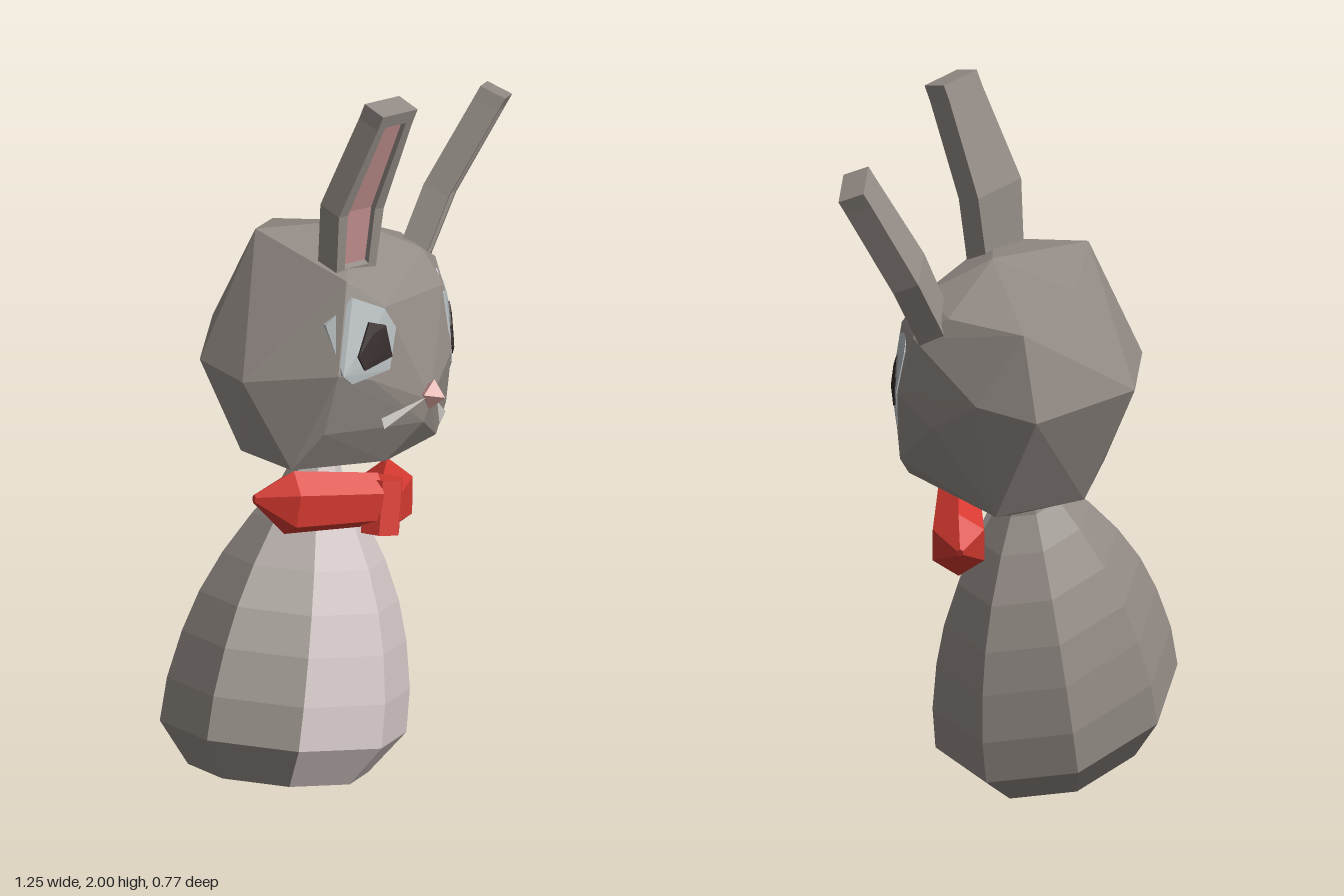
import * as THREE from 'three';
import { ConvexGeometry } from 'three/addons/geometries/ConvexGeometry.js';

const V = (x, y, z) => new THREE.Vector3(x, y, z);
const mat = (color) => new THREE.MeshStandardMaterial({ color, flatShading: true });
const fur = mat(0x948c86), belly = mat(0xcfc4c3), pink = mat(0xc08f8d), red = mat(0xd63a30);
const eyeWhite = mat(0xb4babd), dark = mat(0x352b2b), nosePink = mat(0xcf9b95), whiskerMat = mat(0xdedad6);
pink.side = whiskerMat.side = THREE.DoubleSide;

function fromTriangles(tris) {
  const geo = new THREE.BufferGeometry().setFromPoints(tris);
  geo.computeVertexNormals();
  return geo;
}

// Skin closed rings of points, panel by panel, with fans over both ends.
function loft(rings) {
  const tris = [], n = rings[0].length;
  for (let j = 0; j < n; j++) {
    const k = (j + 1) % n;
    for (let i = 0; i + 1 < rings.length; i++) {
      const [a, b] = [rings[i], rings[i + 1]];
      tris.push(a[j], a[k], b[k], a[j], b[k], b[j]);
    }
  }
  const first = rings[0], last = rings[rings.length - 1];
  const mid = (r) => r.reduce((s, p) => s.add(p), V(0, 0, 0)).divideScalar(n);
  const m0 = mid(first), m1 = mid(last);
  for (let j = 0; j < n; j++) {
    const k = (j + 1) % n;
    tris.push(m0, first[k], first[j], m1, last[j], last[k]);
  }
  // turn the faces outward
  let volume = 0;
  for (let i = 0; i < tris.length; i += 3) {
    const c = tris[i + 1].clone().sub(m0).cross(tris[i + 2].clone().sub(m0));
    volume += tris[i].clone().sub(m0).dot(c);
  }
  if (volume < 0) for (let i = 0; i < tris.length; i += 3) [tris[i], tris[i + 1]] = [tris[i + 1], tris[i]];
  return fromTriangles(tris);
}

// Ear with a recessed front; levels are [centre, width], w is the width direction.
function makeEar(levels, w, thickness) {
  const ear = new THREE.Group();
  const along = levels[levels.length - 1][0].clone().sub(levels[0][0]).normalize();
  w = w.clone().addScaledVector(along, -w.dot(along)).normalize();
  const front = w.clone().cross(along).normalize();
  const at = (c, s, d) => c.clone().addScaledVector(w, s).addScaledVector(front, d);
  const step = (i, j, f) => [levels[i][0].clone().lerp(levels[j][0], f), levels[i][1]];
  const end = levels.length - 1;
  const rows = [[...levels[0], 0], [...step(0, 1, 0.2), 0], [...step(0, 1, 0.22), 0.018],
    [...levels[1], 0.018], [...step(end, 1, 0.14), 0.018], [...step(end, 1, 0.12), 0], [...levels[end], 0]];
  const h = thickness / 2;
  ear.add(new THREE.Mesh(loft(rows.map(([c, width, deep]) => {
    const o = width / 2, q = o * 0.6;
    return [at(c, -o, -h), at(c, o, -h), at(c, o, h), at(c, q, h),
      at(c, q, h - deep), at(c, -q, h - deep), at(c, -q, h), at(c, -o, h)];
  })), fur));
  ear.children[0].name = 'earShell';
  // inner lining
  const tris = [], lining = rows.slice(2, 5).map(([c, width, deep]) =>
    [at(c, -width * 0.3, h - deep + 0.003), at(c, width * 0.3, h - deep + 0.003)]);
  for (let i = 0; i < 2; i++) {
    const [[a, b], [d, c]] = [lining[i], lining[i + 1]];
    tris.push(a, b, c, a, c, d);
  }
  const inner = new THREE.Mesh(fromTriangles(tris), pink);
  inner.name = 'innerEar';
  ear.add(inner);
  return ear;
}

// Six-sided bow wing, flaring from the knot to a pointed end.
function makeWing(from, to, tip, r0, r1) {
  const x = to.clone().sub(from).normalize();
  const up = V(0, 1, 0).addScaledVector(x, -x.y).normalize();
  const side = x.clone().cross(up);
  const ring = (c, r) => Array.from({ length: 6 }, (_, i) => {
    const a = (i + 0.5) * Math.PI / 3;
    return c.clone().addScaledVector(up, Math.sin(a) * r).addScaledVector(side, Math.cos(a) * r * 0.8);
  });
  return loft([ring(from, r0), ring(to, r1), ring(tip, 0.012)]);
}

export function createModel() {
  const model = new THREE.Group();
  const add = (name, object, material) => {
    const o = object.isObject3D ? object : new THREE.Mesh(object, material);
    o.name = name;
    model.add(o);
    return o;
  };

  // Leaning eight-sided body: height along the axis, relative girth
  const profile = [[-0.115, 0.73], [0, 1], [0.12, 0.985], [0.25, 0.91], [0.36, 0.81],
    [0.47, 0.66], [0.58, 0.46], [0.66, 0.28], [0.75, 0.17]];
  const bodyGeo = loft(profile.map(([t, s]) => Array.from({ length: 8 }, (_, j) => {
    const a = (j + 0.5) * Math.PI / 4, u = Math.cos(a) * 0.382 * s, v = Math.sin(a) * 0.317 * s;
    return V(-0.248 + 0.26 * t + u - 0.17 * v, 0.197 + 0.96 * t - 0.28 * u + 0.175 * v, 0.09 - 0.12 * t + v);
  })));
  const panel = (profile.length - 1) * 6;
  bodyGeo.addGroup(0, 2 * panel, 1);
  bodyGeo.addGroup(2 * panel, bodyGeo.attributes.position.count - 2 * panel, 0);
  add('body', bodyGeo, [fur, belly]);

  // Faceted, tilted head
  const head = add('head', new ConvexGeometry([
    // crown
    [-0.14, 1.56, -0.15], [-0.1, 1.51, 0.18], [0.12, 1.54, -0.05], [0.33, 1.42, -0.1],
    [0.045, 1.48, -0.295], [0.25, 1.4, -0.31], [0.27, 1.45, 0.06],
    // face
    [-0.19, 1.28, 0.25], [0, 1.42, 0.225], [-0.08, 1.24, 0.262], [0.12, 1.12, 0.27],
    [0.28, 1.18, 0.17], [0.1, 1.06, 0.265], [-0.21, 1.1, 0.215], [0.29, 1.36, 0.125],
    // sides
    [0.385, 1.36, -0.02], [0.395, 1.2, 0.03], [0.32, 0.99, 0.1], [0.37, 1.12, -0.08], [0.34, 1.2, -0.22],
    [-0.34, 1.23, 0.03], [-0.32, 1.01, 0], [-0.32, 1.22, -0.17],
    // back
    [-0.09, 1.2, -0.385], [0.24, 1.16, -0.35],
    // jaw and underside
    [-0.27, 0.99, 0.15], [0.02, 0.945, 0.2], [0.25, 0.93, 0.14],
    [0.08, 0.83, -0.1], [0.24, 0.87, -0.19], [-0.2, 0.94, -0.15], [-0.03, 0.88, -0.25],
  ].map((p) => V(...p))), fur);
  head.updateMatrixWorld(true);

  // Thin plate laid onto the head from the front, or from the left side
  const plate = (outline, fromSide, lift) => {
    const n = outline.length;
    const c = [0, 1].map((k) => outline.reduce((s, p) => s + p[k], 0) / n);
    const inner = outline.map((p) => [(p[0] + c[0]) / 2, (p[1] + c[1]) / 2]);
    const dir = fromSide ? V(-1, 0, 0) : V(0, 0, -1), points = [];
    for (const [s, y] of [...outline, ...inner, c]) {
      const start = fromSide ? V(3, y, s) : V(s, y, 3);
      const hit = new THREE.Raycaster(start, dir).intersectObject(head)[0];
      if (hit) points.push(hit.point.clone().addScaledVector(dir, -lift), hit.point.clone().addScaledVector(dir, 0.02));
    }
    return new ConvexGeometry(points);
  };
  add('rightEyePatch', plate([[-0.18, 1.28], [-0.17, 1.4], [-0.1, 1.47], [-0.01, 1.42],
    [0.02, 1.36], [-0.02, 1.255], [-0.15, 1.25]], false, 0.01), eyeWhite);
  add('rightEye', plate([[-0.125, 1.32], [-0.07, 1.4], [-0.02, 1.38], [-0.01, 1.29], [-0.11, 1.28]], false, 0.016), dark);
  add('leftEyePatch', plate([[0.155, 1.14], [0.16, 1.23], [0.135, 1.34], [0.085, 1.39],
    [0.03, 1.31], [0.035, 1.2], [0.095, 1.085]], true, 0.005), eyeWhite);
  add('leftEye', plate([[0.155, 1.18], [0.145, 1.24], [0.095, 1.285], [0.07, 1.23], [0.075, 1.155], [0.115, 1.137]], true, 0.01), dark);

  // Nose and whiskers
  const nose = add('nose', new THREE.OctahedronGeometry(0.042), nosePink);
  nose.position.set(0.12, 1.14, 0.275);
  nose.rotation.set(0, 0.3, -0.3);
  add('rightWhisker', fromTriangles([V(-0.06, 1.125, 0.277), V(-0.05, 1.09, 0.277), V(0.1, 1.145, 0.285)]), whiskerMat);
  add('leftWhisker', fromTriangles([V(0.19, 1.01, 0.225), V(0.22, 1.035, 0.215), V(0.13, 1.12, 0.285)]), whiskerMat);

  // Ears
  add('rightEar', makeEar([[V(-0.025, 1.48, 0.09), 0.15], [V(-0.012, 1.68, 0.1), 0.17],
    [V(0.055, 1.985, 0.183), 0.13]], V(1, -0.1, -0.05), 0.075));
  add('leftEar', makeEar([[V(0.31, 1.37, -0.03), 0.13], [V(0.415, 1.55, -0.035), 0.15],
    [V(0.565, 1.815, 0.022), 0.13]], V(0.6, -0.47, -0.6), 0.075));

  // Bow tie
  const bow = new THREE.Group();
  const bowParts = {
    rightWing: makeWing(V(-0.03, 0.85, 0.21), V(-0.27, 0.89, 0.14), V(-0.36, 0.915, 0.1), 0.078, 0.092),
    leftWing: makeWing(V(0, 0.82, 0.21), V(0.17, 0.735, 0.03), V(0.235, 0.74, -0.045), 0.075, 0.1),
    knot: new THREE.CylinderGeometry(0.058, 0.058, 0.15, 6),
  };
  for (const [name, geo] of Object.entries(bowParts)) {
    const part = new THREE.Mesh(geo, red);
    part.name = name;
    bow.add(part);
  }
  bow.children[2].position.set(-0.01, 0.83, 0.22);
  bow.children[2].rotation.set(-0.1, 0.3, -0.25);
  add('bowTie', bow);

  return model;
}
